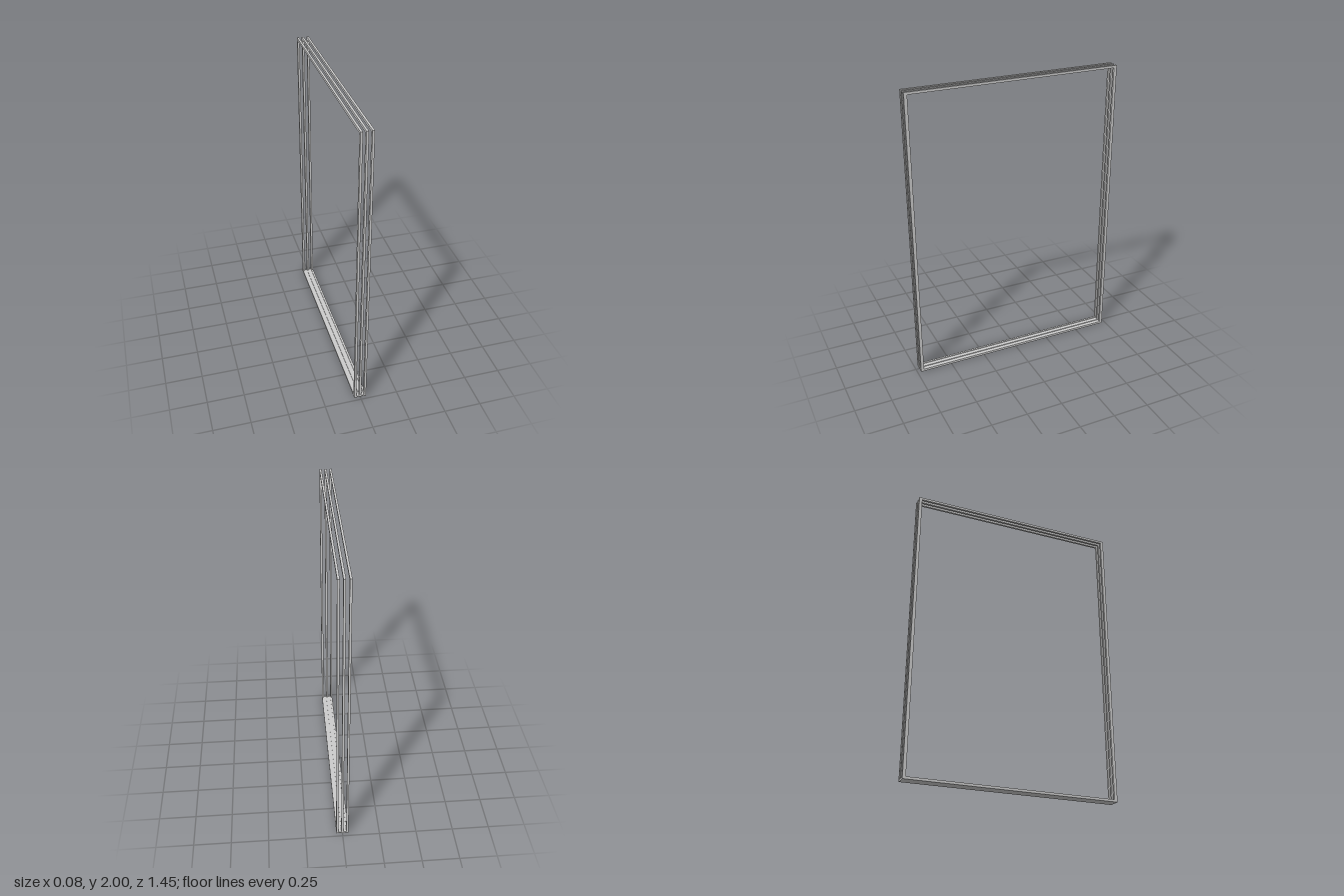
import * as THREE from 'three';

const H = 2, HALF_DEPTH = 0.725, HALF_WIDTH = 0.041;
const FIN = 0.014, JAMB = 0.021, RAIL = 0.016, SILL = 0.011;

export function createModel() {
  const group = new THREE.Group();
  const material = new THREE.MeshStandardMaterial({ color: 0xcccccc, flatShading: true });

  // Rectangular ring in the y-z plane, extruded along x
  const outline = (z, y0, y1) => [[-z, y0], [z, y0], [z, y1], [-z, y1]]
    .map(([a, b]) => new THREE.Vector2(a, b));
  const ring = new THREE.Shape(outline(HALF_DEPTH, 0, H));
  ring.holes.push(new THREE.Path(outline(HALF_DEPTH - JAMB, RAIL, H - RAIL)));
  const frameGeometry = new THREE.ExtrudeGeometry(ring, { depth: FIN, bevelEnabled: false });
  frameGeometry.translate(0, 0, -FIN / 2);
  frameGeometry.rotateY(Math.PI / 2);

  // Three parallel track frames, open between them
  const offset = HALF_WIDTH - FIN / 2;
  [['rightFrame', -offset], ['middleFrame', 0], ['leftFrame', offset]].forEach(([name, x]) => {
    const frame = new THREE.Mesh(frameGeometry, material);
    frame.name = name;
    frame.position.x = x;
    group.add(frame);
  });

  // Sill strips fill the two channels along the bottom
  const gap = offset - FIN;
  for (const side of [-1, 1]) {
    const sill = new THREE.Mesh(new THREE.BoxGeometry(gap, SILL, HALF_DEPTH * 2), material);
    sill.name = side < 0 ? 'rightSill' : 'leftSill';
    sill.position.set(side * offset / 2, SILL / 2, 0);
    group.add(sill);
  }
  return group;
}
